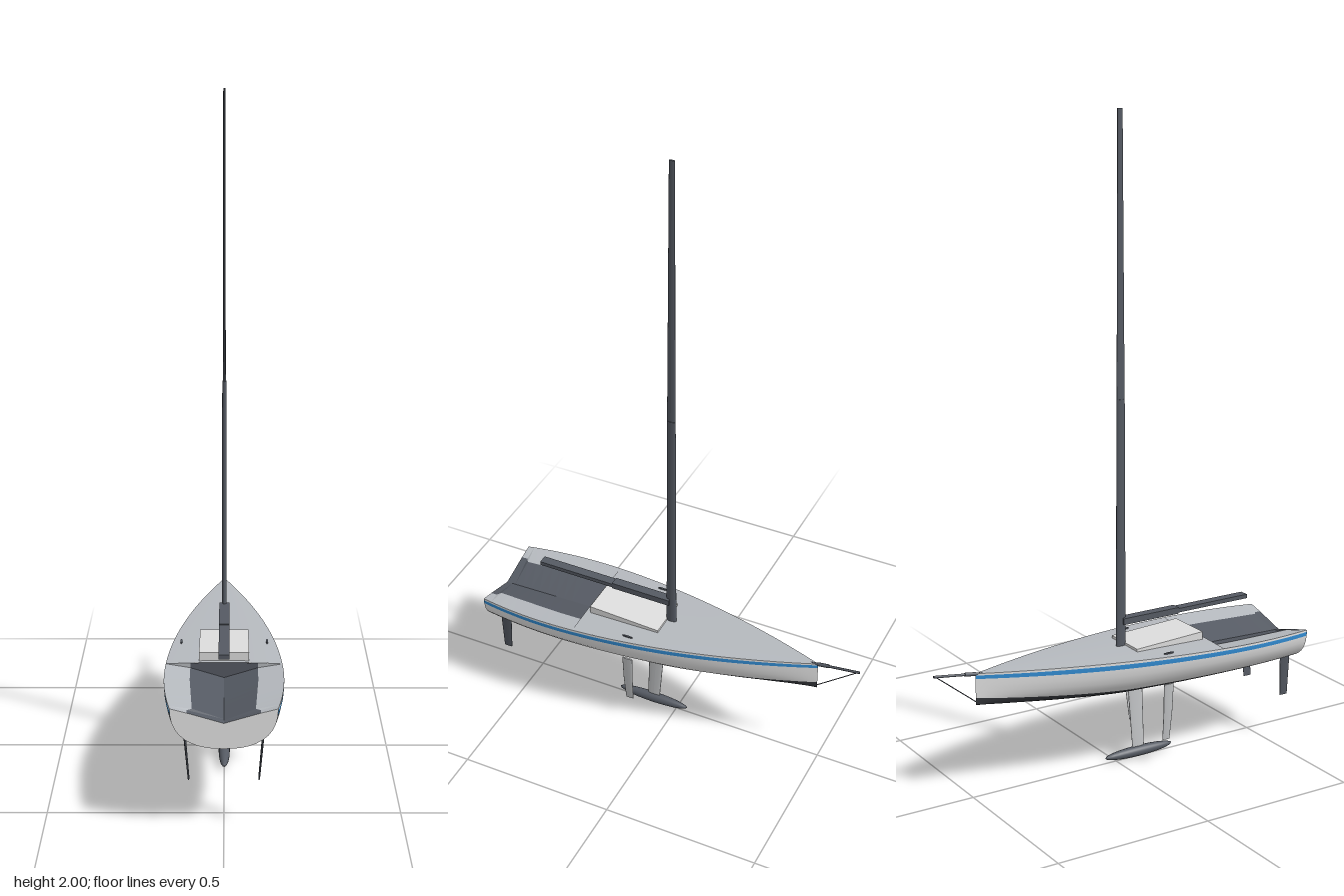
import * as THREE from 'three';

const mat = (name, color, side = THREE.FrontSide) => {
  const m = new THREE.MeshStandardMaterial({ color, side });
  m.name = name;
  return m;
};

// Hull lines: half width, sheer height and keel height at station z
const BOW = -0.485, STERN = 0.62, WELL = 0.285;
const halfWidth = z => z < 0.37
  ? 0.171 * (1 - Math.pow((0.37 - z) / 0.855, 1.86)) + 0.0005
  : 0.1715 - 0.023 * ((z - 0.37) / 0.25) ** 2;
const sheer = z => 0.388 - 0.03 * (z - BOW) / (STERN - BOW);
const keelY = z => z > 0 ? 0.242 : 0.242 + 0.048 * Math.pow(z / BOW, 1.4);
const crownY = (z, x) => sheer(z) + 0.025 * halfWidth(z) * (1 - (x / halfWidth(z)) ** 2);

const range = (a, b, n) => Array.from({ length: n + 1 }, (_, i) => a + (b - a) * i / n);

// Skin over rows of points; bandMat gives the material slot of each column
function skin(rows, bandMat, flat = false) {
  const n = rows[0].length, index = [];
  let g = new THREE.BufferGeometry();
  g.setAttribute('position', new THREE.Float32BufferAttribute(rows.flat(2), 3));
  for (let j = 0; j < n - 1; j++) {
    const start = index.length;
    for (let i = 0; i < rows.length - 1; i++) {
      const a = i * n + j, b = a + 1, c = a + n, d = c + 1;
      index.push(a, c, b, b, c, d);
    }
    if (bandMat) g.addGroup(start, index.length - start, bandMat(j));
  }
  g.setIndex(index);
  if (flat) g = g.toNonIndexed();
  g.computeVertexNormals();
  return g;
}

// Upright spar or foil from elliptical sections [x, y, z, rx, rz], bottom to top
function foil(sections) {
  const ring = ([x, y, z, rx, rz]) => range(0, Math.PI * 2, 16)
    .map(t => [x + rx * Math.cos(t), y, z + rz * Math.sin(t)]);
  const first = sections[0], last = sections[sections.length - 1];
  const tip = s => [s[0], s[1], s[2], 0, 0];
  return skin([tip(first), first, ...sections, last, tip(last)].map(ring));
}

// Round rod between two points
function rod(a, b, r) {
  const A = new THREE.Vector3(...a), B = new THREE.Vector3(...b);
  const g = new THREE.CylinderGeometry(r, r, A.distanceTo(B), 8);
  g.applyQuaternion(new THREE.Quaternion().setFromUnitVectors(
    new THREE.Vector3(0, 1, 0), B.clone().sub(A).normalize()));
  return g.translate(...A.add(B).multiplyScalar(0.5).toArray());
}

export function createModel() {
  const model = new THREE.Group();
  const white = mat('hull white', 0xe6e6e6);
  const blue = mat('stripe blue', 0x3490d8);
  const bottom = mat('bottom paint', 0x36383d);
  const deckGrey = mat('deck grey', 0xb6babf);
  const cabinWhite = mat('cabin white', 0xdedede);
  const carbon = mat('carbon', 0x555a63);
  const foilGrey = mat('foil grey', 0xc6c8ca);
  const add = (name, geometry, material) => {
    const m = new THREE.Mesh(geometry, material);
    m.name = name;
    model.add(m);
    return m;
  };

  // Hull: rounded sections from sheer to keel and up the other side
  const depths = [0, 0.06, 0.17, 0.35, 0.52, 0.66, 0.78, 0.87, 0.93, 0.97, 0.99, 1];
  const N = depths.length - 1;
  const section = z => {
    const half = depths.map(f => [
      halfWidth(z) * Math.pow(1 - Math.pow(f, 2.4), 1 / 2.4),
      sheer(z) - f * (sheer(z) - keelY(z)), z]);
    return [...half, ...half.slice(0, -1).reverse().map(([x, y]) => [-x, y, z])];
  };
  const hullBand = j => {
    const k = j < N ? j : 2 * N - 1 - j;
    return k === 1 ? 1 : k >= 6 ? 2 : 0;
  };
  add('hull', skin(range(BOW, STERN, 44).map(section), hullBand), [white, blue, bottom]);

  // Foredeck with a slight crown
  const across = range(-1, 1, 8);
  add('foredeck', skin(range(BOW, WELL, 30).map(z => across.map(u => {
    const x = u * halfWidth(z);
    return [x, crownY(z, x), z];
  }))), deckGrey);

  // Side decks and sunken cockpit, starting with the step down at its front
  const wellX = z => z > 0.595 ? 0.102 : z < 0.38 ? 0.098 : 0.098 - 0.01 * (z - 0.38) / 0.21;
  const wellXs = z => [-halfWidth(z), -wellX(z), 0, wellX(z), halfWidth(z)];
  const drop = [0, 0.012, 0.042, 0.012, 0];
  const wellRow = z => wellXs(z).map((x, i) => [x, sheer(z) - drop[i], z]);
  const wellRows = [
    wellXs(WELL).map(x => [x, crownY(WELL, x), WELL]),
    ...[...range(WELL, 0.59, 10), 0.6, STERN].map(wellRow)];
  add('cockpit', skin(wellRows, j => (j === 0 || j === 3 ? 0 : 1), true), [deckGrey, carbon]);

  // Transom, notched to the cockpit
  const outline = [...section(STERN), ...wellRow(STERN).slice(1, 4)]
    .map(([x, y]) => new THREE.Vector2(x, y));
  add('transom', new THREE.ShapeGeometry(new THREE.Shape(outline)).translate(0, 0, STERN), white);

  // Low cabin, lower toward the mast
  const cabin = new THREE.BoxGeometry(0.146, 0.045, 0.24).translate(0, 0.3735, 0.15);
  const p = cabin.attributes.position;
  for (let i = 0; i < p.count; i++) {
    if (p.getY(i) > 0.38 && p.getZ(i) < 0.1) p.setY(i, 0.385);
  }
  cabin.computeVertexNormals();
  add('cabin', cabin, cabinWhite);

  // Mast in two tapering lengths, and the boom
  add('lowerMast', foil([[0, 0.365, 0.017, 0.0075, 0.017], [0, 1.15, 0.016, 0.006, 0.014]]), carbon);
  add('upperMast', foil([[0, 1.15, 0.016, 0.0045, 0.014], [0, 2, 0.013, 0.003, 0.009]]), carbon);
  add('boomFront', new THREE.BoxGeometry(0.03, 0.02, 0.2).translate(0, 0.457, 0.12), carbon);
  add('boomEnd', new THREE.BoxGeometry(0.03, 0.013, 0.26).translate(0, 0.457, 0.35), carbon);

  // Bowsprit and its stay
  add('bowsprit', rod([0, 0.384, -0.46], [0, 0.405, -0.62], 0.004), carbon);
  add('bowspritCollar', rod([0, 0.387, -0.484], [0, 0.392, -0.52], 0.006), carbon);
  add('bobstay', rod([0, 0.402, -0.612], [0, 0.3, -0.484], 0.0015), carbon);

  // Keel fin and ballast bulb
  add('keelFin', foil([[0, 0.02, 0.082, 0.003, 0.021], [0, 0.25, 0.068, 0.004, 0.027]]), foilGrey);
  const bulb = add('keelBulb', new THREE.SphereGeometry(1, 24, 16), carbon);
  bulb.scale.set(0.017, 0.0165, 0.122);
  bulb.position.set(0, 0.0165, 0.083);

  // Paired daggerboards and rudders
  for (const s of [1, -1]) {
    const side = s > 0 ? 'left' : 'right';
    add(side + 'Daggerboard', foil([
      [s * 0.095, 0.08, 0.122, 0.0025, 0.013],
      [s * 0.108, 0.17, 0.12, 0.003, 0.016],
      [s * 0.117, 0.27, 0.117, 0.003, 0.018]]), foilGrey);
    add(side + 'DaggerboardHead', foil([
      [s * 0.127, 0.36, 0.109, 0.003, 0.017],
      [s * 0.128, 0.377, 0.109, 0.003, 0.017]]), carbon);
    add(side + 'Rudder', foil([
      [s * 0.098, 0.135, 0.57, 0.0025, 0.014],
      [s * 0.11, 0.27, 0.563, 0.0035, 0.019]]), carbon);
  }
  return model;
}
